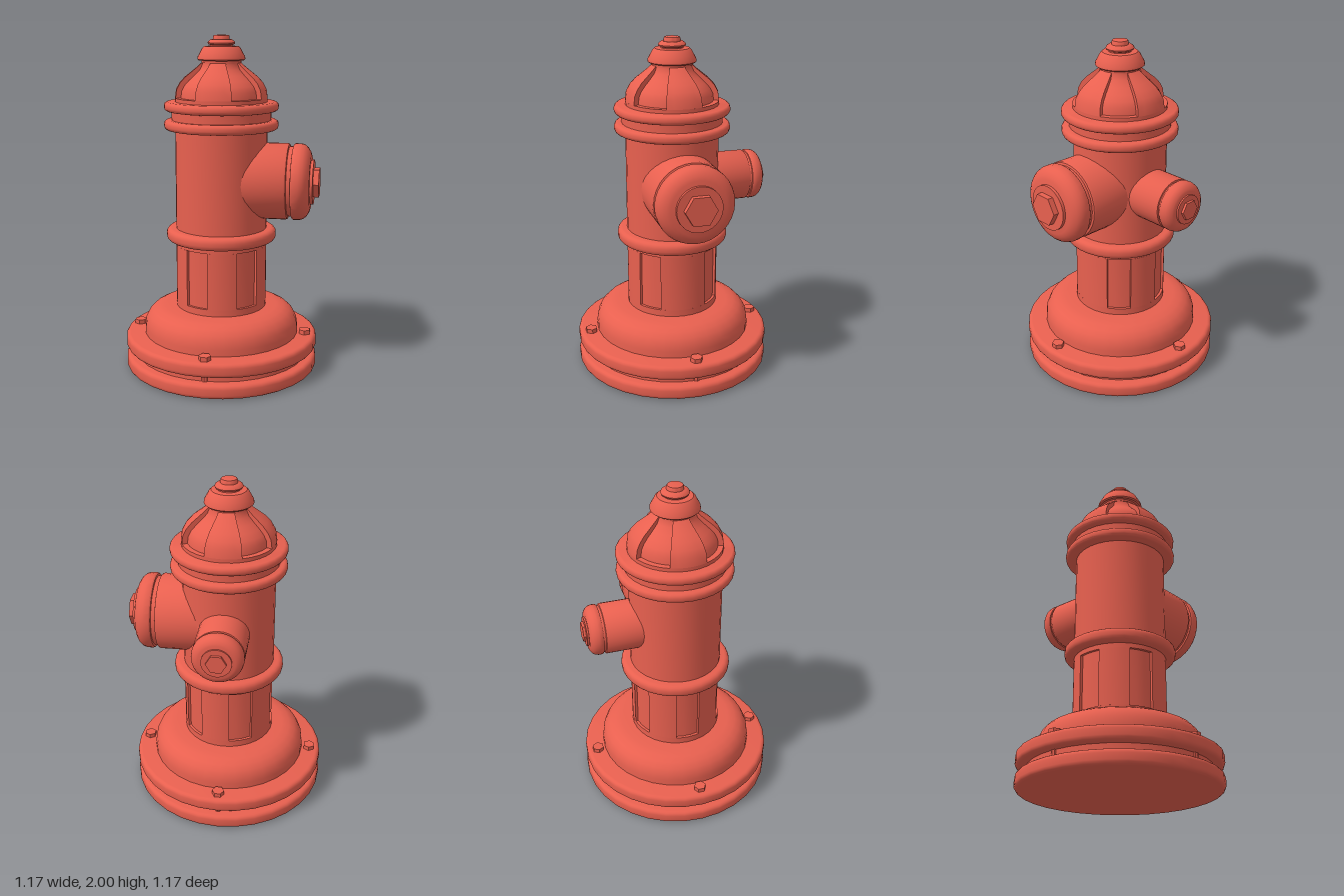
import * as THREE from 'three';
import { toCreasedNormals } from 'three/addons/utils/BufferGeometryUtils.js';

const SIDES = 32;
const rad = THREE.MathUtils.degToRad;
const material = new THREE.MeshStandardMaterial({ color: 0xe8604f, side: THREE.DoubleSide });

function part(name, geometry) {
  const mesh = new THREE.Mesh(toCreasedNormals(geometry, 0.65), material);
  mesh.name = name;
  return mesh;
}

const toVectors = (points) => points.map(([r, y]) => new THREE.Vector2(r, y));

function lathe(name, points, sides = SIDES) {
  return part(name, new THREE.LatheGeometry(toVectors(points), sides));
}

// Flat disc with rounded top and bottom edges
function roundedRing(name, radius, y0, y1, bevel) {
  const points = [[0, y0]];
  for (let i = 0; i <= 8; i++) {
    const a = -Math.PI / 2 + (i / 8) * Math.PI;
    const y = i <= 4 ? y0 + bevel : y1 - bevel;
    if (i === 4) {
      points.push([radius, y0 + bevel], [radius, y1 - bevel]);
    } else {
      points.push([radius - bevel + bevel * Math.cos(a), y + bevel * Math.sin(a)]);
    }
  }
  points.push([0, y1]);
  return lathe(name, points);
}

// Hexagonal prism with its points along x
function hexNut(name, radius, y0, y1) {
  const g = new THREE.CylinderGeometry(radius, radius, y1 - y0, 6);
  g.rotateY(Math.PI / 2).translate(0, (y0 + y1) / 2, 0);
  return part(name, g);
}

// Lower column with five shallow sunken panels
function flutedColumn() {
  const group = new THREE.Group();
  group.name = 'flutedColumn';
  const R = 0.273, depth = 0.016, half = 15;
  const centres = [-157.5, -90, -22.5, 45, 135];
  const points = [];
  const arc = (from, to, steps, r) => {
    for (let i = 0; i <= steps; i++) {
      const a = rad(from + ((to - from) * i) / steps);
      points.push(new THREE.Vector2(Math.sin(a) * r, -Math.cos(a) * r));
    }
  };
  centres.forEach((c, i) => {
    const next = i < 4 ? centres[i + 1] : centres[0] + 360;
    arc(c - half, c + half, 3, R - depth);
    arc(c + half, next - half, 6, R);
  });
  const g = new THREE.ExtrudeGeometry(new THREE.Shape(points), { depth: 0.34, bevelEnabled: false });
  g.rotateX(-Math.PI / 2).translate(0, 0.42, 0);
  group.add(
    part('panelSection', g),
    lathe('columnFoot', [[0, 0.36], [R, 0.36], [R, 0.42], [0, 0.42]]),
    lathe('columnHead', [[0, 0.76], [R, 0.76], [R, 0.8], [0, 0.8]])
  );
  return group;
}

// Bonnet: a sunken inner dome under four raised sectors
function bonnet() {
  const group = new THREE.Group();
  group.name = 'bonnet';
  const outer = [[0.272, 1.64], [0.265, 1.69], [0.245, 1.727], [0.215, 1.76], [0.18, 1.788], [0.14, 1.82], [0.116, 1.842]];
  const inner = [[0.24, 1.64], [0.236, 1.68], [0.219, 1.712], [0.191, 1.742], [0.158, 1.772], [0.125, 1.805], [0.112, 1.835]];
  group.add(
    lathe('bonnetRim', [[0, 1.6], [0.272, 1.6], [0.272, 1.64], [0.23, 1.64]]),
    lathe('bonnetCore', [...inner, [0.112, 1.842]]),
    lathe('bonnetNeck', [[0.108, 1.842], [0.116, 1.842], [0.116, 1.87]])
  );
  const wall = new THREE.Shape(toVectors([...outer, ...inner.slice().reverse()]));
  for (let i = 0; i < 4; i++) {
    const mid = (i * Math.PI) / 2, half = rad(22.5);
    group.add(part('bonnetRib', new THREE.LatheGeometry(toVectors(outer), 5, mid - half, half * 2)));
    for (const s of [-1, 1]) {
      const side = part('ribSide', new THREE.ShapeGeometry(wall));
      side.rotation.y = mid + s * half - Math.PI / 2;
      group.add(side);
    }
  }
  return group;
}

// Outlet built pointing up, then turned to face outwards
function outlet(name, profile, collar, nut, height, turn) {
  const group = new THREE.Group();
  group.name = name;
  const tilt = new THREE.Group();
  tilt.rotation.x = -Math.PI / 2;
  tilt.add(
    lathe('outletBody', profile),
    lathe('outletCollar', collar),
    hexNut('outletNut', ...nut)
  );
  group.add(tilt);
  group.position.y = height;
  group.rotation.y = turn;
  return group;
}

export function createModel() {
  const model = new THREE.Group();
  model.name = 'hydrant';

  // Base flanges and bell
  model.add(
    roundedRing('lowerFlange', 0.586, 0, 0.085, 0.025),
    lathe('flangeNeck', [[0.525, 0.08], [0.525, 0.13]]),
    roundedRing('upperFlange', 0.586, 0.127, 0.212, 0.025),
    lathe('baseBell', [[0.47, 0.2], [0.47, 0.25], [0.464, 0.29], [0.447, 0.325], [0.42, 0.352], [0.385, 0.37], [0.34, 0.378], [0.25, 0.38]])
  );

  // Flange bolts
  for (let i = 0; i < 4; i++) {
    const bolt = new THREE.Group();
    bolt.name = 'flangeBolt';
    const head = hexNut('boltHead', 0.036, 0.2, 0.238);
    const shank = part('boltShank', new THREE.CylinderGeometry(0.02, 0.02, 0.06, 8));
    head.position.z = 0.517;
    shank.position.set(0, 0.106, 0.515);
    bolt.add(head, shank);
    bolt.rotation.y = (i * Math.PI) / 2;
    model.add(bolt);
  }

  // Barrel and its rings
  model.add(
    flutedColumn(),
    roundedRing('middleRing', 0.33, 0.788, 0.864, 0.03),
    lathe('barrel', [[0.273, 0.85], [0.273, 1.47]]),
    roundedRing('barrelRing', 0.338, 1.455, 1.512, 0.023),
    lathe('ringNeck', [[0.295, 1.5], [0.295, 1.575]]),
    roundedRing('bonnetRing', 0.338, 1.564, 1.618, 0.023)
  );

  // Bonnet and finial
  model.add(
    bonnet(),
    lathe('finialCap', [[0, 1.855], [0.132, 1.855], [0.14, 1.862], [0.138, 1.877], [0.125, 1.9], [0.112, 1.925], [0.1, 1.936], [0.07, 1.938], [0, 1.938]]),
    lathe('finialCollar', [[0.065, 1.93], [0.065, 1.943], [0.077, 1.948], [0.08, 1.956], [0.076, 1.964], [0.06, 1.975], [0, 1.975]]),
    lathe('finialTip', [[0.048, 1.965], [0.048, 1.99], [0.044, 1.998], [0.035, 2], [0, 2]])
  );

  // Large side outlet and small rear outlet
  model.add(
    outlet('largeOutlet',
      [[0, 0.05], [0.226, 0.05], [0.226, 0.395], [0.221, 0.405], [0.208, 0.408], [0.208, 0.43], [0.22, 0.432], [0.226, 0.44], [0.226, 0.475], [0.219, 0.497], [0.204, 0.515], [0.182, 0.529], [0.16, 0.536], [0, 0.536]],
      [[0.132, 0.53], [0.132, 0.553], [0, 0.553]],
      [0.093, 0.545, 0.586], 1.153, -Math.PI / 2),
    outlet('smallOutlet',
      [[0, 0.05], [0.148, 0.05], [0.148, 0.44], [0.144, 0.446], [0.136, 0.448], [0.136, 0.46], [0.144, 0.461], [0.148, 0.467], [0.148, 0.488], [0.143, 0.508], [0.133, 0.522], [0.117, 0.533], [0.104, 0.537], [0, 0.537]],
      [[0.086, 0.53], [0.086, 0.547], [0, 0.547]],
      [0.058, 0.54, 0.562], 1.15, 0)
  );

  return model;
}
